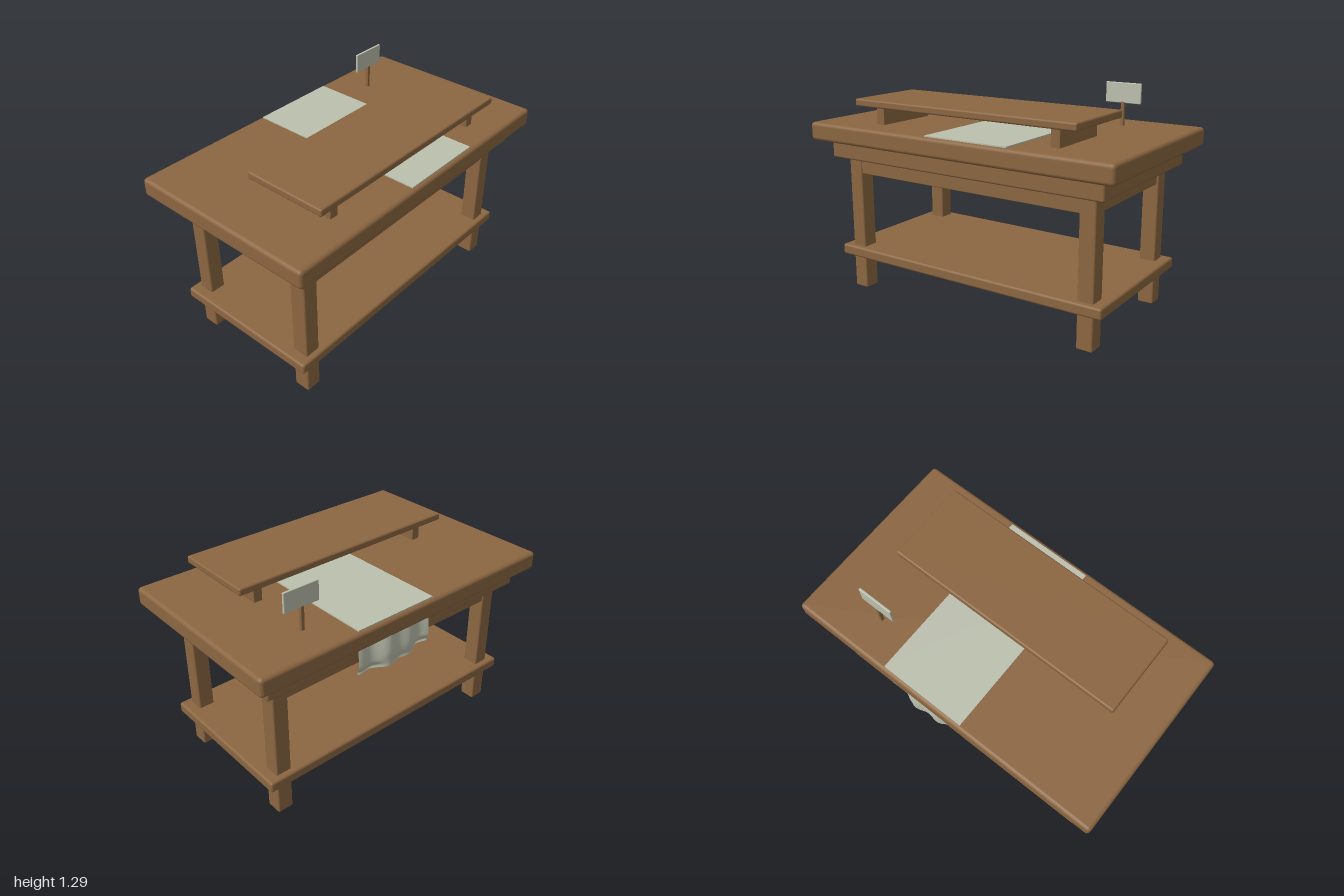
import * as THREE from 'three';
import { RoundedBoxGeometry } from 'three/addons/geometries/RoundedBoxGeometry.js';
import { ParametricGeometry } from 'three/addons/geometries/ParametricGeometry.js';

export function createModel() {
  const group = new THREE.Group();
  const wood = new THREE.MeshStandardMaterial({ color: 0x8b6641 });
  wood.name = 'brown wood';
  const cloth = new THREE.MeshStandardMaterial({ color: 0xbcc0ae, side: THREE.DoubleSide });
  cloth.name = 'pale grey green cloth';

  // Rounded block given by its [min, max] extents on each axis
  function block(name, x, y, z, radius = 0.01, material = wood) {
    const size = [x, y, z].map(([a, b]) => b - a);
    const geometry = radius
      ? new RoundedBoxGeometry(...size, 3, radius)
      : new THREE.BoxGeometry(...size);
    const mesh = new THREE.Mesh(geometry, material);
    mesh.name = name;
    mesh.position.set(...[x, y, z].map(([a, b]) => (a + b) / 2));
    group.add(mesh);
  }

  // Table top, the slab under it and the low shelf
  block('tableTop', [-1, 1], [0.937, 1.047], [-0.573, 0.583], 0.022);
  block('upperApron', [-0.91, 0.91], [0.83, 0.94], [-0.488, 0.5], 0.012);
  block('lowerShelf', [-0.9, 0.9], [0.207, 0.272], [-0.456, 0.47], 0.014);

  // Long rails between the legs
  block('frontRail', [-0.76, 0.76], [0.735, 0.84], [0.355, 0.43], 0.005);
  block('backRail', [-0.76, 0.76], [0.735, 0.84], [-0.415, -0.34], 0.005);

  // Legs, side rails and riser supports, mirrored left and right
  for (const [side, s] of [['left', 1], ['right', -1]]) {
    const span = (a, b) => (s > 0 ? [a, b] : [-b, -a]);
    block(`${side}FrontLeg`, span(0.742, 0.838), [0, 0.85], [0.338, 0.436], 0.01);
    block(`${side}BackLeg`, span(0.742, 0.838), [0, 0.85], [-0.421, -0.324], 0.01);
    block(`${side}SideRail`, span(0.755, 0.825), [0.735, 0.84], [-0.34, 0.355], 0.005);
    block(`${side}RiserSupport`, span(0.56, 0.615), [1.04, 1.155], [0.02, 0.417], 0.004);
  }

  // Raised shelf on the table
  block('riserShelf', [-0.735, 0.735], [1.15, 1.194], [-0.035, 0.469], 0.011);

  // Runner lying flat across the table
  block('runner', [-0.14, 0.388], [1.045, 1.054], [-0.553, 0.56], 0, cloth);

  // Runner end hanging down behind, in soft folds: rows of height, depth, fold depth
  const rows = [
    [1.0, -0.538, 0.028], [0.94, -0.549, 0.027], [0.85, -0.558, 0.026],
    [0.81, -0.557, 0.024], [0.787, -0.548, 0.034], [0.773, -0.55, 0.032],
  ];
  const path = new THREE.CatmullRomCurve3(rows.map((r) => new THREE.Vector3(...r)));
  const drape = new THREE.Mesh(new ParametricGeometry((u, v, target) => {
    const row = path.getPoint(v);
    const fold = 0.65 * Math.cos((u - 0.52) * Math.PI * 2) + 0.35 * Math.cos(u * Math.PI * 6 + 0.6);
    const sag = -0.006 * Math.sin(u * Math.PI) * v;
    target.set(-0.13 + 0.51 * u, row.x + sag, row.y - row.z * fold);
  }, 48, 20), cloth);
  drape.name = 'hangingRunnerEnd';
  group.add(drape);

  // Small sign on a post
  block('signPost', [0.575, 0.595], [1.04, 1.185], [-0.361, -0.341], 0.002);
  block('signPlate', [0.477, 0.695], [1.178, 1.295], [-0.358, -0.344], 0.004, cloth);

  return group;
}
